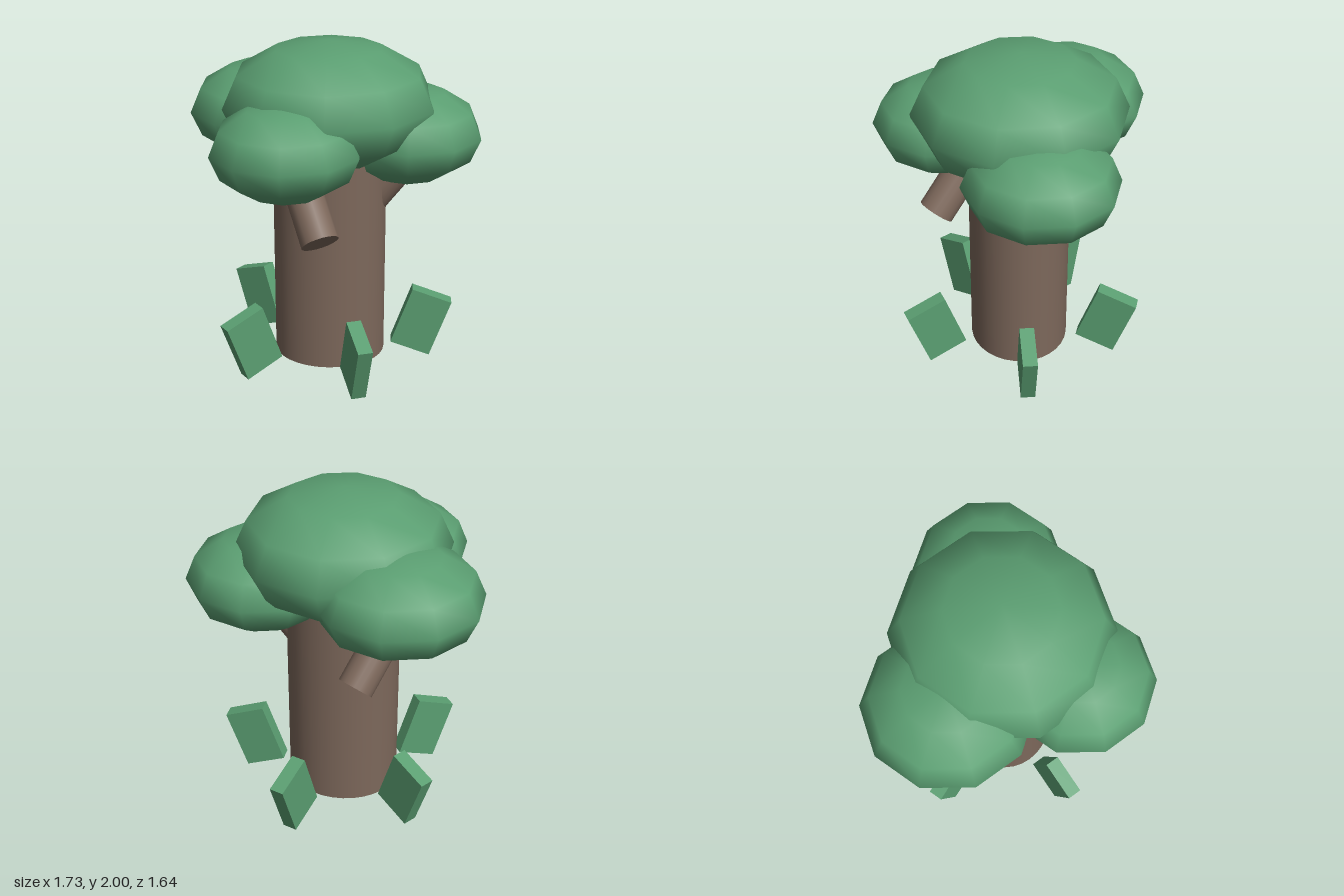
import * as THREE from 'three';

export function createModel() {
  const model = new THREE.Group();
  model.name = 'tree';
  const bark = new THREE.MeshStandardMaterial({ color: 0x7d685b });
  bark.name = 'bark brown';
  const foliage = new THREE.MeshStandardMaterial({ color: 0x5b9f72 });
  foliage.name = 'leaf green';

  const add = (name, geometry, material, parent = model) => {
    const mesh = new THREE.Mesh(geometry, material);
    mesh.name = name;
    parent.add(mesh);
    return mesh;
  };

  // Trunk: a slightly oval column
  const trunk = add('trunk', new THREE.CylinderGeometry(1, 1, 1.4, 32), bark);
  trunk.scale.set(0.338, 1, 0.303);
  trunk.position.set(-0.022, 0.74, -0.03);

  // Branch stubs: start point, direction, length, radius
  const up = new THREE.Vector3(0, 1, 0);
  const branches = [
    ['frontBranch', [-0.055, 0.945, 0.47], [-0.43, 1, -0.76], 0.52, 0.11],
    ['backBranch', [-0.2, 0.99, -0.505], [-0.5, 1, 0.77], 0.5, 0.105],
    ['sideBranch', [0.2, 1.03, -0.03], [0.62, 0.78, 0], 0.42, 0.118],
  ];
  for (const [name, start, dir, length, radius] of branches) {
    const geometry = new THREE.CylinderGeometry(radius, radius, length, 20);
    geometry.translate(0, length / 2, 0);
    const branch = add(name, geometry, bark);
    branch.position.set(...start);
    branch.quaternion.setFromUnitVectors(up, new THREE.Vector3(...dir).normalize());
  }

  // Crown: flattened, smooth, ten-sided balls with a corner facing front
  const ball = new THREE.SphereGeometry(1, 10, 6).rotateY(Math.PI / 2);
  const clumps = [
    ['mainCrown', -0.025, 1.63, -0.035, 0.635, 0.37],
    ['backClump', -0.4, 1.505, -0.335, 0.489, 0.295],
    ['frontClump', -0.25, 1.465, 0.385, 0.435, 0.278],
    ['sideClump', 0.435, 1.425, -0.11, 0.451, 0.287],
  ];
  for (const [name, x, y, z, radius, height] of clumps) {
    const clump = add(name, ball, foliage);
    clump.position.set(x, y, z);
    clump.scale.set(radius, height, radius);
  }

  // Ring of five thick leaves leaning outward around the base
  const leaves = new THREE.Group();
  leaves.name = 'baseLeaves';
  leaves.position.set(-0.02, 0.225, -0.03);
  model.add(leaves);
  const leafShape = new THREE.BoxGeometry(0.256, 0.385, 0.088).rotateZ(-0.345);
  leafShape.translate(0.565, 0, 0);
  for (let i = 0; i < 5; i++) {
    add('leaf' + (i + 1), leafShape, foliage, leaves).rotation.y = (i * Math.PI * 2) / 5;
  }
  return model;
}
